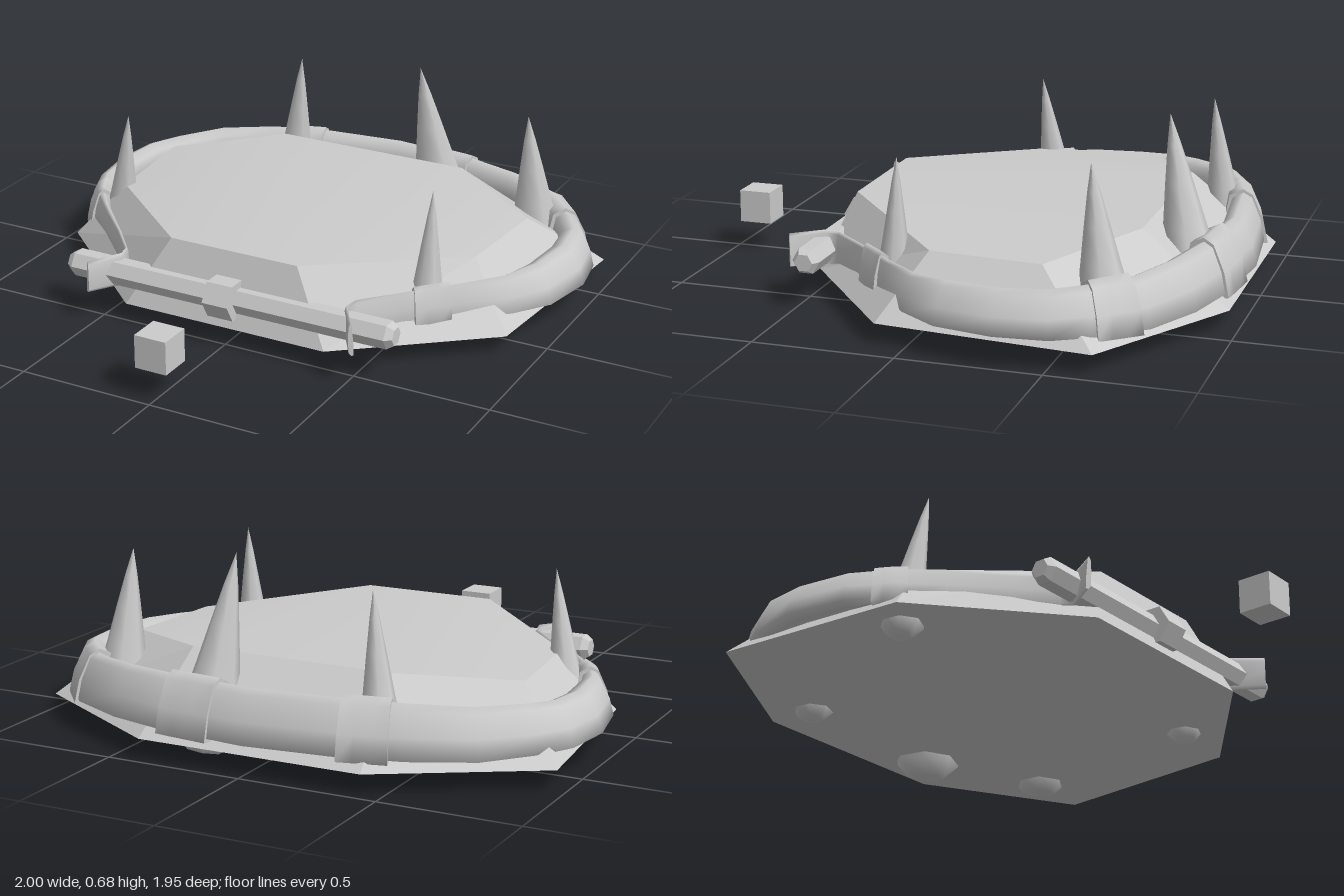
import * as THREE from 'three';

const material = new THREE.MeshStandardMaterial({ color: 0xcccccc });
const flatMaterial = new THREE.MeshStandardMaterial({ color: 0xcccccc, flatShading: true });

function addMesh(parent, name, geometry, mat = material) {
  const mesh = new THREE.Mesh(geometry, mat);
  mesh.name = name;
  parent.add(mesh);
  return mesh;
}

function geometryFrom(points, index) {
  const g = new THREE.BufferGeometry();
  g.setAttribute('position', new THREE.Float32BufferAttribute(points.flat(), 3));
  g.setIndex(index);
  g.computeVertexNormals();
  return g;
}

// Cushion outlines, clockwise from the back left as seen from above
const lower = [[-0.43, -0.97], [0.4, -0.97], [0.96, -0.65], [0.89, 0.11],
  [0.39, 0.51], [-0.4, 0.51], [-0.9, 0.07], [-0.97, -0.65]].map(([x, z]) => [x, 0.07, z]);
const upper = [[-0.39, -0.66], [0.37, -0.66], [0.74, -0.42], [0.71, -0.02],
  [0.24, 0.42], [-0.26, 0.42], [-0.72, 0], [-0.76, -0.42]]
  .map(([x, z]) => [x, Math.abs(x) < 0.5 ? 0.32 : 0.28, z]);

function cushionSides() {
  const index = [];
  for (let i = 0; i < 8; i++) {
    const n = (i + 1) % 8;
    index.push(i, i + 8, n, n, i + 8, n + 8);
    if (i > 0 && i < 7) index.push(0, i, i + 1);
  }
  return geometryFrom([...lower, ...upper], index);
}

function cushionTop() {
  const quads = [[0, 5, 4, 1], [1, 4, 3, 2], [7, 6, 5, 0]];
  return geometryFrom(upper, quads.flatMap(([a, b, c, d]) => [a, b, c, a, c, d]));
}

// Half of the rim from the back centre to the front: outer x, outer z, width, bottom, top
const half = [
  [0, -0.98, 0.13, 0.1, 0.28], [0.33, -0.945, 0.13, 0.1, 0.28], [0.55, -0.89, 0.13, 0.1, 0.275],
  [0.76, -0.79, 0.13, 0.1, 0.265], [0.9, -0.63, 0.13, 0.1, 0.255], [0.97, -0.51, 0.13, 0.1, 0.25],
  [1, -0.33, 0.14, 0.105, 0.245], [0.96, -0.12, 0.12, 0.105, 0.245], [0.87, 0.02, 0.08, 0.11, 0.24],
  [0.74, 0.14, 0.04, 0.12, 0.24], [0.58, 0.29, 0.025, 0.13, 0.235], [0.47, 0.41, 0.02, 0.12, 0.235],
  [0.46, 0.45, 0.02, 0.11, 0.235], [0.53, 0.56, 0.02, 0.11, 0.23]];
const last = half.length - 1;

// Station at t, from -last (left end) through 0 (back) to last (right end)
function station(t) {
  const a = Math.min(Math.abs(t), last);
  const i = Math.min(Math.floor(a), last - 1);
  const s = half[i].map((v, k) => THREE.MathUtils.lerp(v, half[i + 1][k], a - i));
  if (t < 0) s[0] *= -1;
  return s;
}

// Rim section: inward and upward fractions, leaning inwards at the top
const section = [[0, 0.03], [0.12, 0.45], [0.38, 0.9], [0.62, 1],
  [0.92, 0.88], [1, 0.55], [0.88, 0.1], [0.4, 0]];

function sweepRim(from, to, steps, grow = 0) {
  const points = [], index = [], n = section.length;
  for (let i = 0; i <= steps; i++) {
    const t = THREE.MathUtils.lerp(from, to, i / steps);
    const [x, z, width, bottom, top] = station(t);
    const p = station(Math.max(t - 0.5, -last)), q = station(Math.min(t + 0.5, last));
    const len = Math.hypot(q[0] - p[0], q[1] - p[1]);
    const inX = -(q[1] - p[1]) / len, inZ = (q[0] - p[0]) / len;
    section.forEach(([u, v], j) => {
      const d = u * width + (u - 0.5) * 2 * grow;
      points.push([x + inX * d, bottom + v * (top - bottom) + (v - 0.5) * 2 * grow, z + inZ * d]);
      if (i < steps) {
        const a = i * n + j, b = i * n + (j + 1) % n;
        index.push(a, b, a + n, b, b + n, a + n);
      }
    });
  }
  // End caps on their own vertices, to keep the ends sharp
  const start = points.length;
  points.push(...points.slice(0, n), ...points.slice(start - n, start));
  for (let j = 1; j < n - 1; j++) {
    index.push(start, start + j + 1, start + j);
    index.push(start + n, start + n + j, start + n + j + 1);
  }
  return geometryFrom(points, index);
}

// Tooth-shaped spike from root to tip, widest near the root
function spikeGeometry(radius, length) {
  const profile = [[0, 0], [0.55, 0.02], [1, 0.1], [0.82, 0.25], [0.62, 0.43], [0.4, 0.65], [0.2, 0.84], [0, 1]];
  return new THREE.LatheGeometry(profile.map(([r, h]) => new THREE.Vector2(r * radius, h * length)), 7);
}

const spikes = [ // root, tip, radius, wrapped stretch of the rim
  { root: [0.24, 0, -0.82], tip: [0.17, 0.675, -0.7], radius: 0.125, wrap: [0.42, 1.05] },
  { root: [-0.42, 0.03, -0.79], tip: [-0.36, 0.615, -0.74], radius: 0.085, wrap: [-1.75, -1] },
  { root: [0.7, 0.03, -0.63], tip: [0.67, 0.615, -0.56], radius: 0.11, wrap: [3.15, 3.9] },
  { root: [-0.77, 0.02, -0.04], tip: [-0.69, 0.565, 0.01], radius: 0.08, wrap: [-8.3, -7.6] },
  { root: [0.6, 0.03, 0.15], tip: [0.61, 0.565, 0.13], radius: 0.075, wrap: [9.2, 9.8] }];

export function createModel() {
  const group = new THREE.Group();

  // Cushion
  addMesh(group, 'cushionSides', cushionSides(), flatMaterial);
  addMesh(group, 'cushionTop', cushionTop());

  // Rolled rim tapering to straps at the front
  addMesh(group, 'rim', sweepRim(-last, last, last * 2));

  // Spikes and the wraps that bind them to the rim
  for (const { root, tip, radius, wrap } of spikes) {
    const a = new THREE.Vector3(...root);
    const axis = new THREE.Vector3(...tip).sub(a);
    const spike = addMesh(group, 'spike', spikeGeometry(radius, axis.length()));
    spike.position.copy(a);
    spike.quaternion.setFromUnitVectors(new THREE.Vector3(0, 1, 0), axis.normalize());
    addMesh(group, 'spikeWrap', sweepRim(...wrap, 3, 0.013));
  }

  // Front bar with bevelled ends
  const barProfile = [[0, -0.645], [0.033, -0.645], [0.05, -0.62], [0.05, 0.62], [0.033, 0.645], [0, 0.645]];
  const bar = addMesh(group, 'frontBar',
    new THREE.LatheGeometry(barProfile.map(([r, h]) => new THREE.Vector2(r, h)), 6), flatMaterial);
  bar.rotation.z = Math.PI / 2;
  bar.position.set(-0.005, 0.167, 0.465);

  // Knot on the bar and the loose block in front
  const knot = addMesh(group, 'barKnot', new THREE.CylinderGeometry(0.075, 0.075, 0.1, 6), flatMaterial);
  knot.rotation.z = Math.PI / 2;
  knot.position.set(-0.01, 0.17, 0.48);
  const block = addMesh(group, 'frontBlock', new THREE.BoxGeometry(0.12, 0.12, 0.12), flatMaterial);
  block.position.set(-0.01, 0.167, 0.91);

  return group;
}
